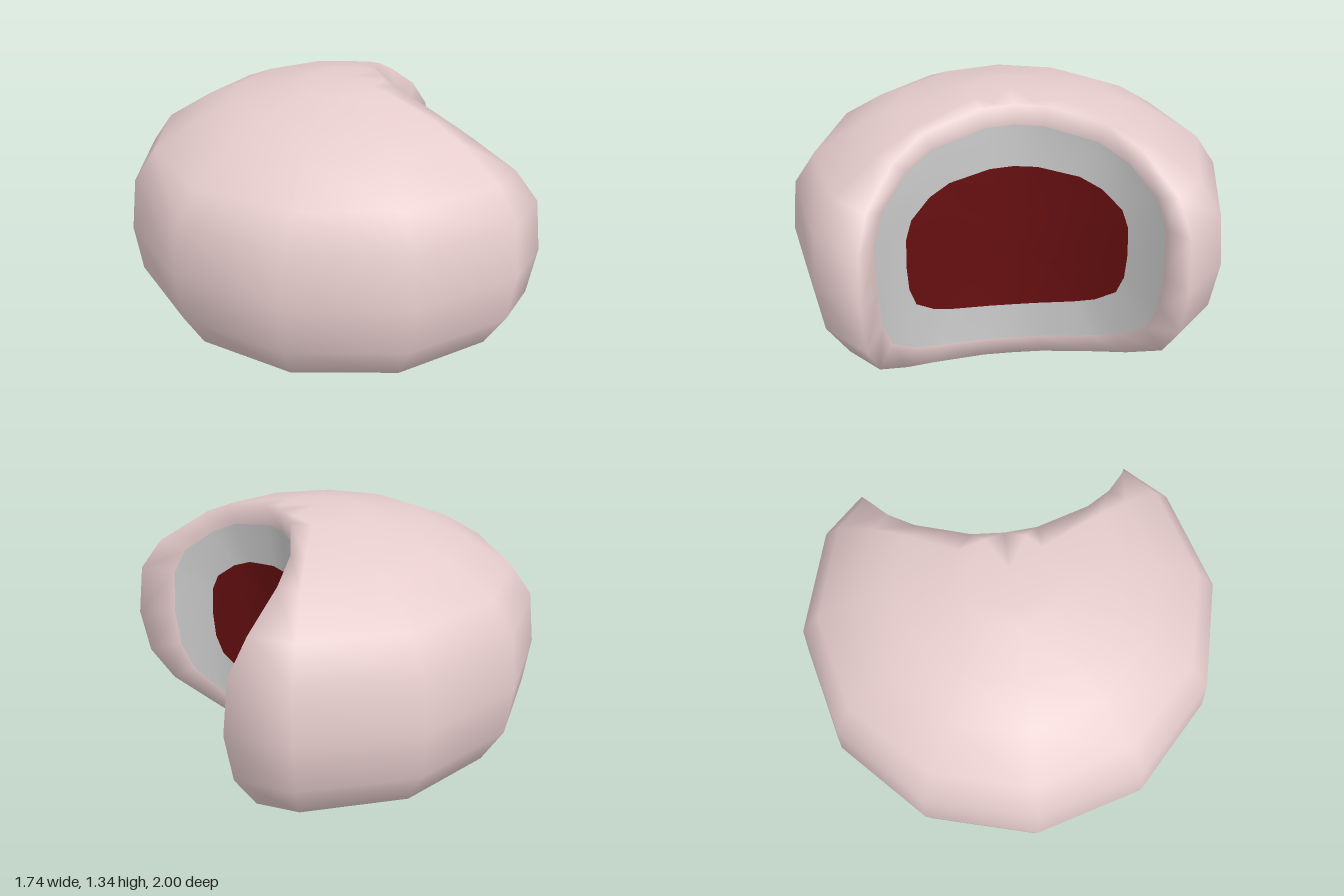
import * as THREE from 'three';
import { mergeGeometries, mergeVertices } from 'three/addons/utils/BufferGeometryUtils.js';

const CX = 0.14;              // body axis
const BITE_X = 1, BITE_R = 0.68; // upright cylinder of the bite
const MID = 0.67;             // middle height
const STEP = Math.PI / 6;     // twelve-sided body

// body rings from top to bottom: radius, height
const RINGS = [
  [0, 1.335], [0.18, 1.325], [0.25, 1.315], [0.51, 1.26], [0.68, 1.19], [0.89, 1.06], [0.99, 0.92],
  [1.02, 0.68],
  [0.99, 0.46], [0.89, 0.29], [0.68, 0.15], [0.51, 0.08], [0.25, 0.02], [0.18, 0.01], [0, 0],
];

// point on a twelve-sided ring
function ringPoint([radius, y], angle) {
  const local = ((angle % STEP) + STEP) % STEP - STEP / 2;
  const r = radius * Math.cos(STEP / 2) / Math.cos(local);
  return new THREE.Vector3(CX + r * Math.cos(angle), y, 0.98 * r * Math.sin(angle));
}

// angle at which a ring leaves the bite
function biteAngle(ring) {
  let lo = 0, hi = Math.PI / 2;
  for (let i = 0; i < 40; i++) {
    const mid = (lo + hi) / 2;
    const p = ringPoint(ring, mid);
    if (Math.hypot(p.x - BITE_X, p.z) < BITE_R) lo = mid; else hi = mid;
  }
  return hi;
}

// surface through rows of points
function grid(rows) {
  const n = rows[0].length, index = [];
  for (let i = 0; i < rows.length - 1; i++) {
    for (let k = 0; k < n - 1; k++) {
      const a = i * n + k, b = a + 1, c = a + n, d = c + 1;
      index.push(a, b, c, b, d, c);
    }
  }
  const g = new THREE.BufferGeometry().setFromPoints(rows.flat());
  g.setIndex(index);
  return g;
}

function part(name, geometries, color) {
  const g = mergeVertices(mergeGeometries(geometries), 1e-4);
  g.computeVertexNormals();
  const mesh = new THREE.Mesh(g, new THREE.MeshStandardMaterial({ color }));
  mesh.name = name;
  return mesh;
}

export function createModel() {
  const group = new THREE.Group();
  group.name = 'bittenFruit';

  // outer skin, stopping at the bite
  const bodyRows = RINGS.map((ring) => {
    const a = biteAngle(ring);
    return Array.from({ length: 13 }, (_, k) =>
      ringPoint(ring, THREE.MathUtils.clamp(k * STEP, a, 2 * Math.PI - a)));
  });

  // closed outline of the bite: down the left side, up the right
  const cut = bodyRows.slice(1, -1);
  const rim = [...cut.map((r) => r[0]), ...cut.map((r) => r[12]).reverse()];
  rim.push(rim[0]);

  // outline shrunk towards the middle and kept on the bite's curve
  const loop = (sz, sy) => rim.map((p) => {
    const z = p.z * sz;
    return new THREE.Vector3(BITE_X - Math.sqrt(BITE_R ** 2 - z * z), MID + (p.y - MID) * sy, z);
  });

  const fleshEdge = loop(0.91, 0.86);
  const coreEdge = loop(0.73, 0.56);

  group.add(part('skin', [grid(bodyRows), grid([rim, fleshEdge])], 0xe6cccc));
  group.add(part('flesh', [grid([fleshEdge, loop(0.82, 0.71), coreEdge])], 0xcccccc));
  group.add(part('core', [grid([coreEdge, loop(0.5, 0.38), loop(0.25, 0.19), loop(0, 0)])], 0x660f10));
  return group;
}
